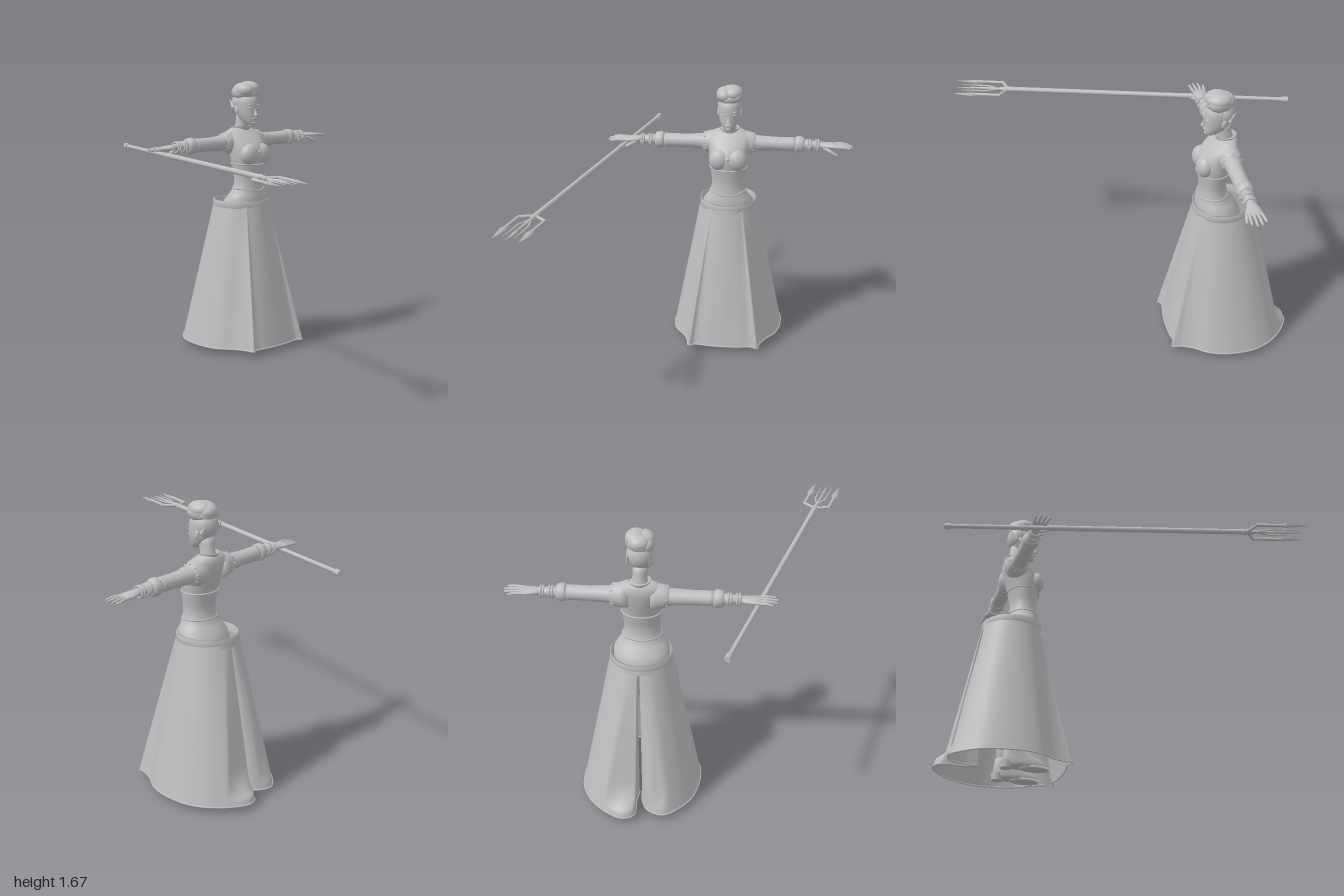
import * as THREE from 'three';

const CX = 0.185;
const grey = new THREE.MeshStandardMaterial({ color: 0xbebebe });
grey.name = 'clay grey';
const cloth = new THREE.MeshStandardMaterial({ color: 0xbebebe, side: THREE.DoubleSide });
cloth.name = 'clay grey cloth';

function add(parent, name, geo, x = 0, y = 0, z = 0, mat = grey) {
  const m = new THREE.Mesh(geo, mat);
  m.name = name;
  m.position.set(x, y, z);
  parent.add(m);
  return m;
}

// closed skin through elliptical sections [y, xCentre, zFront, zBack, xRadius]
function loft(rows, n = 28) {
  const pos = [], idx = [];
  for (const [y, x, zf, zb, rx] of rows)
    for (let i = 0; i < n; i++) {
      const a = (i / n) * Math.PI * 2;
      pos.push(x + rx * Math.sin(a), y, (zf + zb) / 2 + ((zf - zb) / 2) * Math.cos(a));
    }
  for (let j = 0; j < rows.length - 1; j++)
    for (let i = 0; i < n; i++) {
      const p = j * n + i, q = j * n + ((i + 1) % n);
      idx.push(p, q, q + n, p, q + n, p + n);
    }
  for (const top of [false, true]) {
    const r = rows[top ? rows.length - 1 : 0], base = top ? (rows.length - 1) * n : 0;
    const c = pos.length / 3;
    pos.push(r[1], r[0], (r[2] + r[3]) / 2);
    for (let i = 0; i < n; i++) {
      const p = base + i, q = base + ((i + 1) % n);
      top ? idx.push(c, p, q) : idx.push(c, q, p);
    }
  }
  const g = new THREE.BufferGeometry();
  g.setAttribute('position', new THREE.Float32BufferAttribute(pos, 3));
  g.setIndex(idx);
  g.computeVertexNormals();
  return g;
}

const ball = (rx, ry, rz) => new THREE.SphereGeometry(1, 24, 16).scale(rx, ry, rz);

// straight rod between two points
function rod(parent, name, a, b, r1, r2 = r1, n = 12) {
  const A = new THREE.Vector3(...a), B = new THREE.Vector3(...b), d = B.clone().sub(A);
  const m = add(parent, name, new THREE.CylinderGeometry(r2, r1, d.length(), n));
  m.position.copy(A).add(B).multiplyScalar(0.5);
  m.quaternion.setFromUnitVectors(new THREE.Vector3(0, 1, 0), d.normalize());
  return m;
}

// skirt: circular waist blended into a pleated hem, narrow slit in a deep fold at the back
function buildSkirt(root) {
  const hem = [[.178, -.65], [.165, -.74], [.13, -.81], [.04, -.845], [-.05, -.78], [-.12, -.68],
    [-.155, -.5], [-.135, -.37], [-.07, -.27], [-.045, -.2], [-.035, -.145], [0, -.165],
    [.09, -.155], [.185, -.15], [.28, -.155], [.36, -.165], [.4, -.145], [.41, -.2],
    [.44, -.27], [.5, -.36], [.53, -.47], [.525, -.62], [.485, -.72], [.44, -.78],
    [.36, -.85], [.27, -.89], [.205, -.86], [.2, -.74], [.192, -.65]];
  const curve = new THREE.CatmullRomCurve3(hem.map(([x, z]) => new THREE.Vector3(x, .035, z)));
  const n = 168, pts = curve.getPoints(n), levels = [0, .1, .25, .4, .55, .7, .8, .9, .95, .98, 1];
  const pos = [], idx = [], wx = .184, wz = -.478, r = .17;
  for (const t of levels)
    for (const p of pts) {
      const a = Math.atan2(p.x - wx, p.z - wz);
      let z = THREE.MathUtils.lerp(wz + r * Math.cos(a), p.z, t);
      if (t < .94) z = Math.max(z, -.65 - .18 * t);
      pos.push(THREE.MathUtils.lerp(wx + r * Math.sin(a), p.x, t), .93 - .895 * t, z);
    }
  for (let j = 0; j < levels.length - 1; j++)
    for (let i = 0; i < n; i++) {
      const p = j * (n + 1) + i, q = p + n + 1;
      idx.push(q, q + 1, p + 1, q, p + 1, p);
    }
  const g = new THREE.BufferGeometry();
  g.setAttribute('position', new THREE.Float32BufferAttribute(pos, 3));
  g.setIndex(idx);
  g.computeVertexNormals();
  add(root, 'skirt', g, 0, 0, 0, cloth);
  add(root, 'hemRoll', new THREE.TubeGeometry(curve, 140, .005, 6));
  const band = [[.165, .89], [.177, .89], [.177, .935], [.165, .935], [.165, .89]]
    .map(([x, y]) => new THREE.Vector2(x, y));
  add(root, 'waistband', new THREE.LatheGeometry(band, 48), wx, 0, wz, cloth);
  // curved plates hanging on the belt, front and back
  for (const [name, start, span] of [['frontBeltPlate', -.38, .76], ['backBeltPlate', Math.PI - .45, .9]])
    add(root, name, new THREE.CylinderGeometry(.181, .184, .025, 16, 1, true, start, span), wx, .897, wz, cloth);
}

// raised seam around the torso, dipping to a point in front by the given drop
function seam(root, name, y, zf, zb, rx, drop) {
  const pts = [];
  for (let i = 0; i < 40; i++) {
    const a = (i / 40) * Math.PI * 2;
    pts.push(new THREE.Vector3(CX + rx * Math.sin(a), y - drop * Math.max(0, Math.cos(a)) ** 6,
      (zf + zb) / 2 + ((zf - zb) / 2) * Math.cos(a)));
  }
  add(root, name, new THREE.TubeGeometry(new THREE.CatmullRomCurve3(pts, true), 80, .005, 6, true));
}

function buildBody(root) {
  add(root, 'torso', loft([
    [.78, CX, -.34, -.58, .15], [.88, CX, -.325, -.58, .16], [.93, CX, -.315, -.555, .158],
    [.97, CX, -.323, -.525, .132], [1, CX, -.328, -.505, .112], [1.05, CX, -.333, -.492, .099],
    [1.1, CX, -.33, -.495, .103], [1.17, CX, -.32, -.51, .114], [1.205, CX, -.311, -.52, .119],
    [1.24, CX, -.312, -.53, .121], [1.28, CX, -.331, -.54, .123], [1.31, CX, -.358, -.545, .129],
    [1.34, CX, -.39, -.547, .135], [1.365, CX, -.42, -.54, .11], [1.385, CX, -.435, -.53, .055]], 40));
  seam(root, 'bodiceHem', 1.01, -.328, -.502, .109, .014);
  seam(root, 'underbustSeam', 1.165, -.32, -.511, .114, .006);
  for (const s of [-1, 1]) add(root, 'bust', ball(.063, .066, .05), CX + s * .052, 1.224, -.352);
  add(root, 'brooch', ball(.012, .012, .008), CX, 1.24, -.311);
  add(root, 'neck', loft([[1.34, CX, -.42, -.53, .055], [1.39, CX, -.43, -.515, .042],
    [1.44, CX, -.415, -.505, .04], [1.48, CX, -.41, -.5, .042]]));
  const collar = new THREE.CylinderGeometry(.062, .052, .035, 28, 1, true);
  add(root, 'collar', collar, CX, 1.375, -.478, cloth);
  // legs and heeled boots
  for (const s of [-1, 1]) {
    const x = CX + s * .115, h = CX + s * .08;
    add(root, 'leg', loft([[.08, x, -.41, -.52, .04], [.2, x, -.4, -.52, .045],
      [.33, x, -.4, -.53, .057], [.45, x, -.39, -.5, .052], [.65, h, -.36, -.53, .075],
      [.84, h, -.35, -.56, .085]], 20));
    add(root, 'bootFoot', loft([[.012, x, -.27, -.52, .045], [.03, x, -.265, -.53, .05],
      [.055, x, -.3, -.535, .046], [.09, x, -.37, -.53, .043], [.13, x, -.41, -.525, .042]], 24));
    add(root, 'bootSole', loft([[.004, x, -.265, -.43, .047], [.017, x, -.26, -.44, .05]], 24));
    add(root, 'bootHeel', new THREE.CylinderGeometry(.035, .032, .04, 16), x, .02, -.512);
  }
}

function buildHead(root) {
  const head = new THREE.Group();
  head.name = 'head';
  root.add(head);
  add(head, 'face', loft([[1.402, CX, -.362, -.41, .018], [1.415, CX, -.355, -.44, .033],
    [1.44, CX, -.354, -.475, .049], [1.47, CX, -.352, -.495, .06], [1.5, CX, -.354, -.51, .066],
    [1.54, CX, -.352, -.515, .069], [1.57, CX, -.36, -.515, .066], [1.6, CX, -.385, -.5, .05]]));
  const nose = add(head, 'nose', new THREE.ConeGeometry(.012, .05, 10), CX, 1.487, -.35);
  nose.rotation.x = -.25;
  nose.scale.z = 1.2;
  add(head, 'lips', ball(.018, .008, .008), CX, 1.444, -.355);
  add(head, 'chin', ball(.018, .014, .014), CX, 1.417, -.366);
  for (const s of [-1, 1]) {
    add(head, 'eye', ball(.014, .006, .007), CX + s * .028, 1.508, -.365);
    const brow = add(head, 'brow', ball(.02, .004, .007), CX + s * .03, 1.525, -.364);
    brow.rotation.z = s * .25;
    const ear = add(head, 'ear', ball(.009, .027, .015), CX + s * .067, 1.497, -.45);
    ear.rotation.x = -.25;
    const wisp = add(head, 'hairPoint', new THREE.ConeGeometry(.016, .07, 8), CX + s * .058, 1.535, -.5);
    wisp.rotation.x = -.6;
  }
  add(head, 'backHair', ball(.073, .078, .062), CX, 1.54, -.46);
  // swept-up rolls of hair
  for (const [x, y, z, a, b, c] of [[0, 1.6, -.437, .074, .047, .08], [.02, 1.628, -.43, .06, .044, .072],
    [-.026, 1.618, -.425, .054, .046, .071], [.042, 1.61, -.425, .038, .044, .06],
    [-.042, 1.603, -.445, .038, .042, .062], [.002, 1.616, -.468, .062, .045, .052]])
    add(head, 'hairRoll', ball(a, b, c), CX + x, y, z);
}

// one arm reaching along +x
function buildArm(root, side) {
  const arm = new THREE.Group();
  arm.name = side > 0 ? 'leftArm' : 'rightArm';
  arm.position.set(CX, 1.295, -.48);
  arm.scale.x = side;
  root.add(arm);
  const along = rows => loft(rows.map(([x, rz, ry]) => [x, 0, rz, -rz, ry])).rotateZ(-Math.PI / 2);
  add(arm, 'sleeve', along([[.08, .055, .06], [.13, .054, .053], [.17, .049, .047], [.28, .044, .041],
    [.38, .044, .042], [.41, .044, .043]]));
  add(arm, 'shoulderPad', along([[.06, .066, .07], [.1, .067, .074], [.135, .062, .066], [.16, .055, .056], [.163, .045, .045]]));
  for (let i = 0; i < 9; i++) {
    const a = i / 9 * Math.PI * 2;
    add(arm, 'shoulderStud', ball(.006, .006, .006), .15, .06 * Math.cos(a), .058 * Math.sin(a));
  }
  add(arm, 'cuff', along([[.4, .044, .042], [.415, .05, .051], [.437, .048, .05], [.455, .042, .044], [.46, .03, .03]]));
  add(arm, 'forearm', along([[.44, .033, .033], [.5, .028, .027], [.56, .024, .021]]));
  for (const x of [.479, .495, .528, .543])
    add(arm, 'bracelet', new THREE.TorusGeometry(.03, .007, 8, 24).rotateY(Math.PI / 2), x, 0, 0);
  for (const x of [.487, .535])
    add(arm, 'braceletClasp', new THREE.BoxGeometry(.014, .018, .02), x, -.005, .038);
  add(arm, 'palm', along([[.545, .023, .02], [.575, .033, .019], [.62, .042, .015], [.65, .04, .011], [.658, .03, .006]]));
  for (let i = 0; i < 4; i++) {
    const z = .033 - i * .022, tip = [.735, .75, .744, .722][i];
    rod(arm, 'finger', [.64, 0, z], [.692, .001, z * 1.15], .0095, .0085, 8);
    rod(arm, 'fingerTip', [.69, .001, z * 1.15], [tip, -.004, z * 1.3], .0085, .006, 8);
  }
  rod(arm, 'thumb', [.575, -.008, .02], [.62, -.029, .04], .014, .011, 8);
  rod(arm, 'thumbTip', [.617, -.028, .039], [.658, -.048, .047], .011, .007, 8);
}

// fork-headed staff, built along +z from its fork base
function buildTrident(root) {
  const t = new THREE.Group();
  t.name = 'trident';
  t.position.set(-.775, 1.257, .655);
  t.rotation.order = 'YXZ';
  t.rotation.set(.005, Math.atan2(-.268, .963), 0);
  root.add(t);
  rod(t, 'shaft', [0, 0, -1.13], [0, 0, .02], .015);
  rod(t, 'rearShaft', [0, 0, -1.7], [0, 0, -1.12], .0125);
  rod(t, 'buttCap', [0, 0, -1.718], [0, 0, -1.68], .018);
  rod(t, 'shaftRing', [0, 0, -1.135], [0, 0, -1.115], .017);
  rod(t, 'forkSocket', [0, 0, -.02], [0, 0, .05], .018, .011);
  // flat four-sided point from its wide end at z0 to its tip at z1
  const blade = (x, z0, z1, w) => add(t, 'blade', new THREE.ConeGeometry(w, Math.abs(z1 - z0), 4)
    .rotateX(Math.sign(z1 - z0) * Math.PI / 2).scale(1, .4, 1), x, 0, (z0 + z1) / 2);
  for (const s of [-1, 1]) {
    rod(t, 'forkShoulder', [0, 0, 0], [s * .078, 0, .045], .009);
    rod(t, 'forkSide', [s * .078, 0, .04], [s * .078, 0, .2], .009);
    blade(s * .078, .21, .13, .025);
    blade(s * .078, .21, .336, .025);
    rod(t, 'innerBrace', [0, 0, .05], [s * .03, 0, .13], .005);
    rod(t, 'innerTine', [s * .03, 0, .125], [s * .034, 0, .29], .006, .002, 8);
  }
  rod(t, 'middleTine', [0, 0, .04], [0, 0, .24], .009, .006, 8);
  blade(0, .22, .33, .014);
}

export function createModel() {
  const root = new THREE.Group();
  root.name = 'tridentBearer';
  buildBody(root);
  buildHead(root);
  buildSkirt(root);
  for (const s of [1, -1]) buildArm(root, s);
  buildTrident(root);
  return root;
}
